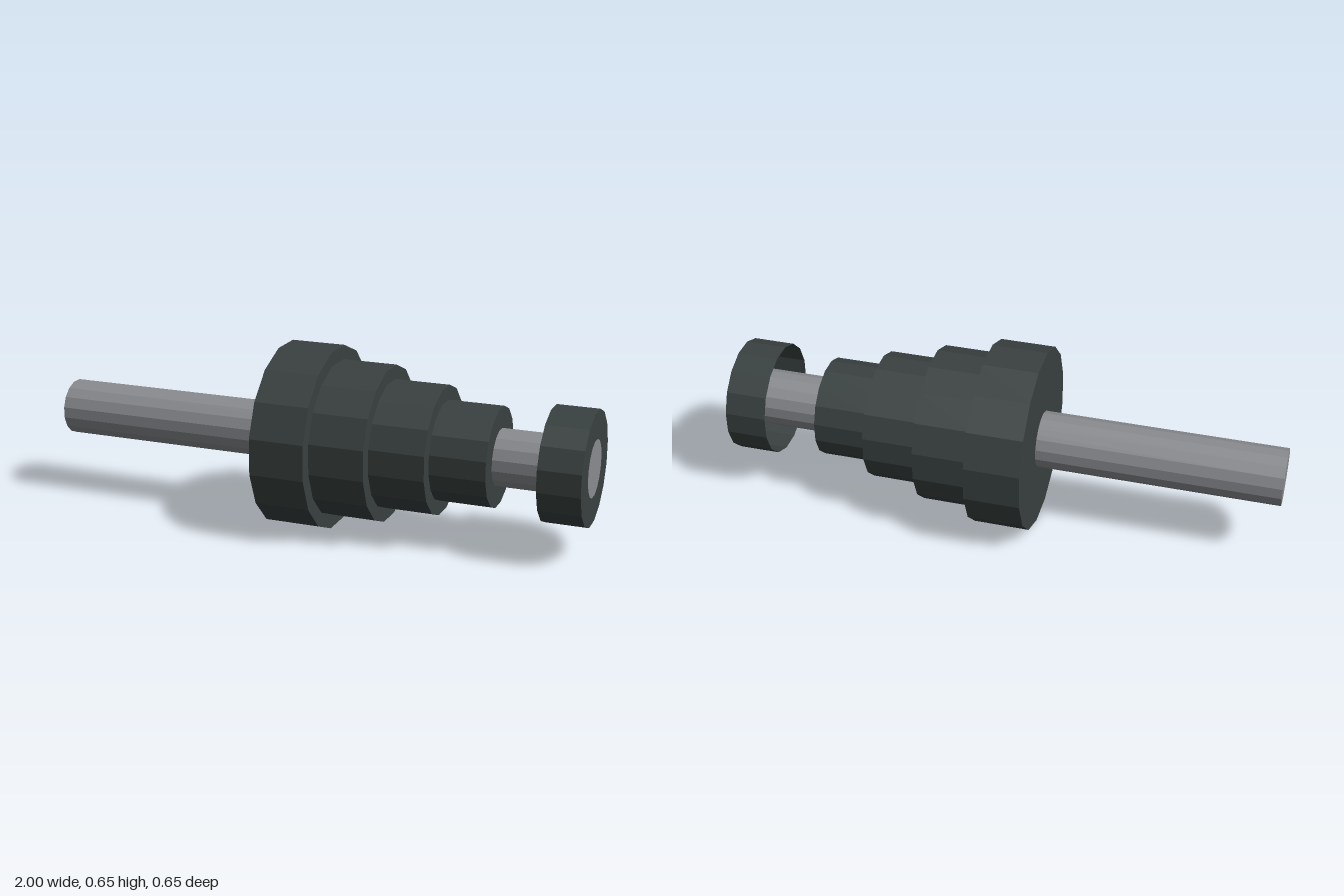
import * as THREE from 'three';

const SIDES = 16;
const HALF_STEP = Math.PI / SIDES; // turns each prism so a flat lies on top
const AXIS_Y = 0.326;

export function createModel() {
  const model = new THREE.Group();
  model.name = 'steppedPulleyShaft';

  const darkIron = new THREE.MeshStandardMaterial({ color: 0x394140, flatShading: true, side: THREE.DoubleSide });
  darkIron.name = 'darkIron';
  const steel = new THREE.MeshStandardMaterial({ color: 0x8a8c90, flatShading: true });
  steel.name = 'steel';

  // Lay a geometry along x with its base at x0
  const place = (name, geometry, x0, material) => {
    const mesh = new THREE.Mesh(geometry, material);
    mesh.name = name;
    mesh.rotation.z = -Math.PI / 2;
    mesh.position.set(x0, AXIS_Y, 0);
    model.add(mesh);
  };

  // Radii are given across the flats
  const prism = (flatRadius, length) => {
    const r = flatRadius / Math.cos(HALF_STEP);
    return new THREE.CylinderGeometry(r, r, length, SIDES, 1, false, HALF_STEP)
      .translate(0, length / 2, 0);
  };

  // Full-length shaft, its end a hair proud of the collar
  place('shaft', prism(0.1, 2.0005), -1, steel);

  // Stepped cone pulley
  [0.326, 0.276, 0.226, 0.175].forEach((radius, i) => {
    place(`pulleyStep${i + 1}`, prism(radius, 0.2), -0.13 + i * 0.2, darkIron);
  });

  // End collar: a cup open toward the pulley
  const r = 0.2 / Math.cos(HALF_STEP);
  const cup = [[r, 0], [r, 0.15], [0, 0.15]].map(([x, y]) => new THREE.Vector2(x, y));
  place('endCollar', new THREE.LatheGeometry(cup, SIDES, HALF_STEP), 0.85, darkIron);

  return model;
}
